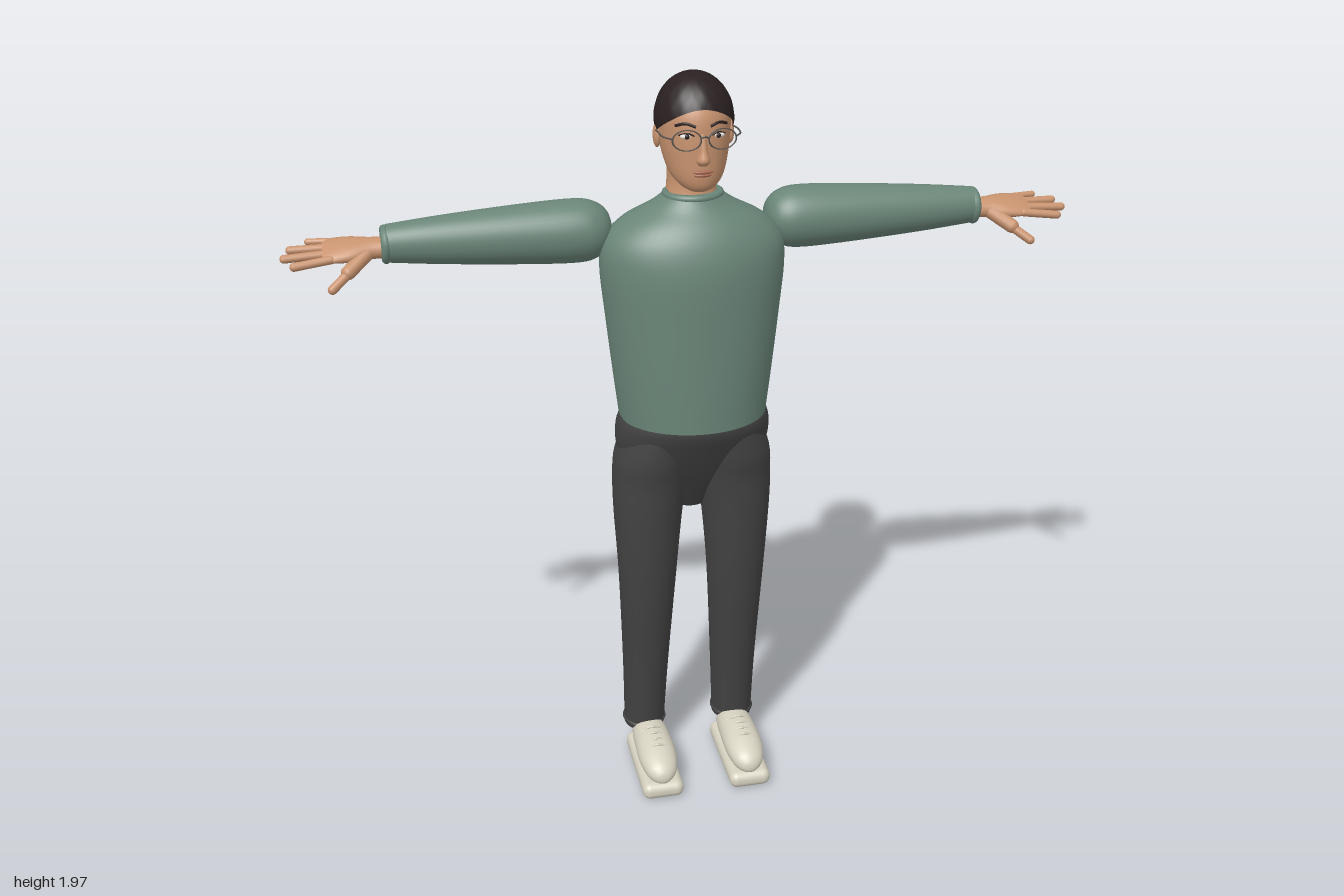
import * as THREE from 'three';
import { RoundedBoxGeometry } from 'three/addons/geometries/RoundedBoxGeometry.js';

const mat = (name, color) => {
  const m = new THREE.MeshStandardMaterial({ color, side: THREE.DoubleSide });
  m.name = name;
  return m;
};

// Smooth closed loft along y; each ring is [y, centreX, centreZ, radiusX, radiusZ]
function loft(rings, n = 40, sub = 5) {
  const rows = [];
  const at = (i) => rings[Math.min(Math.max(i, 0), rings.length - 1)];
  for (let i = 0; i < rings.length - 1; i++)
    for (let k = 0; k < sub; k++) {
      const t = k / sub;
      rows.push(at(i).map((b, c) => {
        const a = at(i - 1)[c], d = at(i + 1)[c], e = at(i + 2)[c];
        return b + 0.5 * t * (d - a + t * (2 * a - 5 * b + 4 * d - e + t * (3 * (b - d) + e - a)));
      }));
    }
  rows.push(at(rings.length));
  // Doubled end rings keep the caps crisp
  const first = rows[0], last = rows[rows.length - 1];
  const all = [[first[0], first[1], first[2], 0, 0], first, ...rows, last, [last[0], last[1], last[2], 0, 0]];
  const pos = [], idx = [];
  for (const [y, cx, cz, rx, rz] of all)
    for (let j = 0; j < n; j++) {
      const a = (j / n) * Math.PI * 2;
      pos.push(cx + rx * Math.sin(a), y, cz + rz * Math.cos(a));
    }
  for (let i = 0; i < all.length - 1; i++) {
    if (i === 1 || i === all.length - 3) continue;
    for (let j = 0; j < n; j++) {
      const a = i * n + j, b = i * n + ((j + 1) % n);
      idx.push(a, b, a + n, b, b + n, a + n);
    }
  }
  const g = new THREE.BufferGeometry();
  g.setAttribute('position', new THREE.Float32BufferAttribute(pos, 3));
  g.setIndex(idx);
  g.computeVertexNormals();
  return g;
}

const ball = (x, y, z, rx, ry, rz) =>
  new THREE.SphereGeometry(1, 24, 16).scale(rx, ry, rz).translate(x, y, z);

// Rounded rod between two points
function rod(a, b, r) {
  const p = new THREE.Vector3(...a), q = new THREE.Vector3(...b);
  const d = q.clone().sub(p);
  const g = new THREE.CapsuleGeometry(r, d.length(), 5, 12);
  g.applyQuaternion(new THREE.Quaternion().setFromUnitVectors(new THREE.Vector3(0, 1, 0), d.normalize()));
  return g.translate(...p.add(q).multiplyScalar(0.5).toArray());
}

const tube = (pts, r) =>
  new THREE.TubeGeometry(new THREE.CatmullRomCurve3(pts.map((p) => new THREE.Vector3(...p))), 24, r, 8);

// Hair cap whose rim is high over the forehead and low at the nape
function hairCap() {
  const g = new THREE.SphereGeometry(1, 64, 24, 0, Math.PI * 2, 0, Math.PI / 2);
  const p = g.attributes.position;
  for (let i = 0; i < p.count; i++) {
    const az = Math.atan2(p.getX(i), p.getZ(i));
    const rim = 2.06 - 0.86 * ((Math.cos(az) + 1) / 2) ** 2;
    const th = Math.acos(Math.min(1, p.getY(i))) * rim / (Math.PI / 2);
    const w = 1 + 0.008 * Math.sin(az * 16) * Math.sin(th * 9);
    p.setXYZ(i, 0.096 * w * Math.sin(th) * Math.sin(az), 1.855 + 0.11 * Math.cos(th),
      -0.002 + 0.109 * w * Math.sin(th) * Math.cos(az));
  }
  g.computeVertexNormals();
  return g;
}

export function createModel() {
  const root = new THREE.Group();
  const sweater = mat('sweater green', 0x6a8578), trousers = mat('charcoal', 0x434344);
  const skin = mat('skin', 0xc8936f), hair = mat('dark hair', 0x2a2021);
  const shoe = mat('off white', 0xd6d1c0), lip = mat('lip', 0xa5654f);
  const white = mat('eye white', 0xe6e0d8), frame = mat('glasses grey', 0x55524f);
  const add = (name, geo, m) => {
    const mesh = new THREE.Mesh(geo, m);
    mesh.name = name;
    root.add(mesh);
    return mesh;
  };

  // Sweater body and collar
  add('sweaterBody', loft([
    [1.08, 0, -0.02, 0.192, 0.163], [1.2, 0, -0.02, 0.206, 0.165], [1.35, 0, -0.02, 0.222, 0.165],
    [1.48, 0, -0.02, 0.234, 0.163], [1.55, 0, -0.02, 0.226, 0.15], [1.6, 0, -0.02, 0.182, 0.125],
    [1.64, 0, -0.015, 0.11, 0.085], [1.668, 0, -0.013, 0.07, 0.066]], 56), sweater);
  add('collar', new THREE.TorusGeometry(0.068, 0.009, 10, 40).rotateX(Math.PI / 2)
    .scale(1, 1, 0.93).translate(0, 1.665, -0.013), sweater);

  // Trousers seat
  add('trouserSeat', loft([
    [0.8, 0, -0.045, 0.04, 0.03], [0.86, 0, -0.04, 0.11, 0.06], [0.93, 0, -0.03, 0.18, 0.09],
    [1.0, 0, -0.026, 0.202, 0.122], [1.06, 0, -0.02, 0.201, 0.142], [1.1, 0, -0.02, 0.186, 0.138]]), trousers);

  // Head and neck
  add('neck', loft([[1.64, 0, -0.03, 0.068, 0.058], [1.7, 0, -0.036, 0.06, 0.055],
    [1.8, 0, -0.03, 0.062, 0.062]]), skin);
  add('head', loft([
    [1.692, 0, 0.058, 0.022, 0.022], [1.703, 0, 0.05, 0.042, 0.046], [1.73, 0, 0.026, 0.066, 0.078],
    [1.78, 0, 0.006, 0.081, 0.1], [1.83, 0, 0, 0.087, 0.106], [1.88, 0, -0.002, 0.087, 0.102],
    [1.925, 0, -0.004, 0.066, 0.078], [1.95, 0, -0.004, 0.03, 0.035]]), skin);
  add('hair', hairCap(), hair);
  add('nose', loft([[1.764, 0, 0.1, 0.012, 0.014], [1.776, 0, 0.104, 0.017, 0.021],
    [1.8, 0, 0.103, 0.011, 0.015], [1.84, 0, 0.1, 0.008, 0.008]], 20), skin);
  add('upperLip', ball(0, 1.747, 0.104, 0.025, 0.0045, 0.006), lip);
  add('lowerLip', ball(0, 1.739, 0.101, 0.021, 0.005, 0.007), lip);

  // Glasses bridge
  add('glassesBridge', tube([[-0.009, 1.834, 0.122], [0, 1.838, 0.125], [0.009, 1.834, 0.122]], 0.002), frame);

  for (const s of [1, -1]) {
    const side = s > 0 ? 'left' : 'right';
    const put = (name, geo, m) => add(side + name, geo, m);

    // Face details
    put('Ear', ball(s * 0.09, 1.815, -0.005, 0.01, 0.03, 0.018), skin);
    put('Eye', ball(s * 0.038, 1.833, 0.093, 0.016, 0.007, 0.008), white);
    put('Iris', ball(s * 0.038, 1.833, 0.0985, 0.006, 0.006, 0.004), hair);
    put('Eyelid', tube([[s * 0.021, 1.835, 0.102], [s * 0.037, 1.841, 0.099], [s * 0.056, 1.835, 0.087]], 0.002), hair);
    put('Eyebrow', tube([[s * 0.017, 1.856, 0.103], [s * 0.04, 1.863, 0.094], [s * 0.062, 1.856, 0.077]], 0.0035), hair);
    put('GlassesRim', new THREE.TorusGeometry(0.034, 0.002, 8, 36).scale(1, 0.72, 1)
      .rotateY(s * 0.12).translate(s * 0.043, 1.83, 0.12), frame);
    put('GlassesArm', tube([[s * 0.077, 1.834, 0.116], [s * 0.093, 1.834, 0.09], [s * 0.095, 1.83, 0.01],
      [s * 0.093, 1.815, -0.02]], 0.002), frame);

    // Sleeve and cuff
    const outward = (g) => g.rotateZ(-s * Math.PI / 2).translate(0, 1.57, 0);
    put('Sleeve', outward(loft([
      [0.195, 0, -0.065, 0.012, 0.012], [0.205, 0, -0.065, 0.044, 0.044], [0.232, 0, -0.065, 0.068, 0.068],
      [0.28, 0, -0.065, 0.079, 0.078], [0.4, 0, -0.065, 0.075, 0.074], [0.6, 0, -0.064, 0.061, 0.058],
      [0.745, 0, -0.063, 0.047, 0.043]])), sweater);
    put('Cuff', new THREE.TorusGeometry(0.037, 0.011, 10, 36).rotateY(Math.PI / 2)
      .translate(s * 0.75, 1.568, -0.063), sweater);

    // Hand, tilted so the thumb side sits lower
    const palm = loft([
      [0.74, 0, 0, 0.024, 0.03], [0.785, 0, 0, 0.024, 0.032], [0.83, 0, 0, 0.022, 0.045],
      [0.875, 0, 0, 0.016, 0.048], [0.9, 0, 0, 0.009, 0.042]], 24);
    palm.rotateZ(-s * Math.PI / 2).rotateX(0.3).translate(0, 1.561, -0.063);
    put('Palm', palm, skin);
    const fingers = [[0.88, 1.55, -0.027, 0.968, 1.541, -0.017], [0.89, 1.557, -0.051, 0.99, 1.553, -0.046],
      [0.885, 1.565, -0.075, 0.975, 1.564, -0.076], [0.875, 1.573, -0.098, 0.932, 1.573, -0.105]];
    fingers.forEach(([x, y, z, u, v, w], i) =>
      put('Finger' + (i + 1), rod([s * x, y, z], [s * u, v, w], i === 3 ? 0.0085 : 0.0105), skin));
    put('ThumbBase', rod([s * 0.795, 1.553, -0.045], [s * 0.842, 1.522, -0.008], 0.018), skin);
    put('Thumb', rod([s * 0.842, 1.52, -0.006], [s * 0.883, 1.491, 0.021], 0.0115), skin);

    // Trouser leg and hem
    put('TrouserLeg', loft([
      [0.09, s * 0.128, -0.085, 0.056, 0.062], [0.3, s * 0.125, -0.066, 0.063, 0.07],
      [0.6, s * 0.122, -0.034, 0.078, 0.081], [0.8, s * 0.119, -0.03, 0.092, 0.096],
      [0.9, s * 0.112, -0.03, 0.1, 0.105], [0.97, s * 0.106, -0.027, 0.1, 0.115],
      [1.06, s * 0.09, -0.022, 0.085, 0.115]]), trousers);
    put('Hem', new THREE.TorusGeometry(0.054, 0.007, 8, 36).rotateX(Math.PI / 2)
      .scale(1, 1, 1.1).translate(s * 0.128, 0.105, -0.084), trousers);

    // Shoe
    put('ShoeSole', new RoundedBoxGeometry(0.115, 0.048, 0.286, 5, 0.022).translate(s * 0.123, 0.024, 0.043), shoe);
    put('ShoeUpper', loft([
      [-0.077, 0, -0.072, 0.02, 0.02], [-0.05, 0, -0.08, 0.045, 0.04], [0.03, 0, -0.082, 0.052, 0.045],
      [0.1, 0, -0.078, 0.052, 0.041], [0.15, 0, -0.07, 0.041, 0.031], [0.172, 0, -0.063, 0.022, 0.018],
      [0.178, 0, -0.06, 0.006, 0.005]]).rotateX(Math.PI / 2).translate(s * 0.123, 0, 0), shoe);
    for (let i = 0; i < 4; i++) {
      const z = 0.015 + i * 0.025, y = 0.132 - i * 0.003;
      put('Lace' + (i + 1), tube([[s * 0.123 - 0.03, y - 0.014, z], [s * 0.123, y, z + 0.006],
        [s * 0.123 + 0.03, y - 0.014, z]], 0.003), shoe);
    }
  }
  return root;
}
